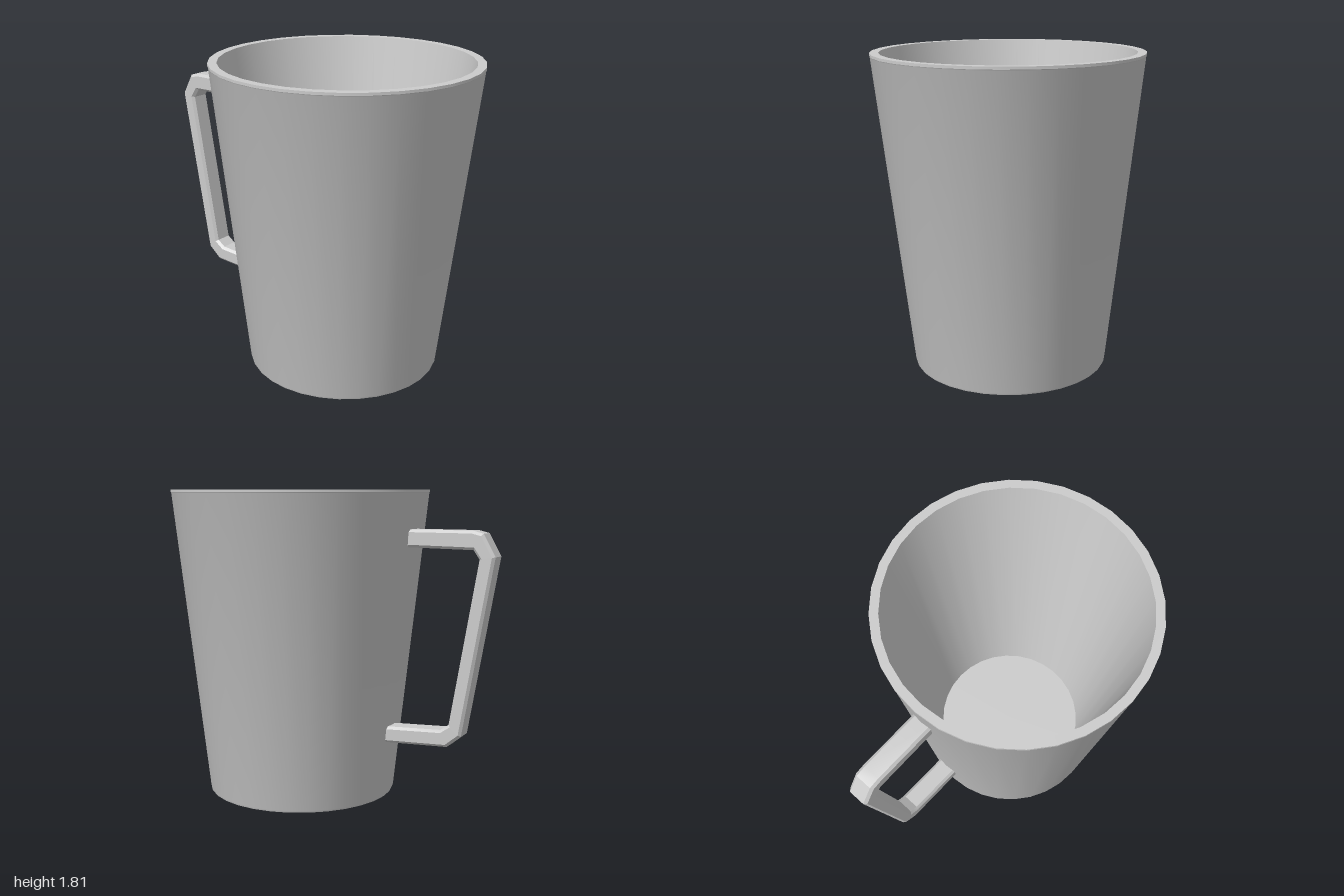
import * as THREE from 'three';
import { toCreasedNormals } from 'three/addons/utils/BufferGeometryUtils.js';

const material = new THREE.MeshStandardMaterial({ color: 0xcccccc });
const points = (list) => list.map(([x, y]) => new THREE.Vector2(x, y));

// Tapered cup: underside, outer wall, rim, inner wall and floor in one profile
function makeCup() {
  const profile = points([
    [0, 0.006], [0.53, 0.006], [0.535, 0], [0.56, 0], [0.565, 0.012],
    [0.762, 1.79], [0.765, 1.795], [0.765, 1.81],
    [0.715, 1.81], [0.455, 0.08], [0, 0.08],
  ]);
  const geometry = toCreasedNormals(new THREE.LatheGeometry(profile, 32), 0.5);
  const cup = new THREE.Mesh(geometry, material);
  cup.name = 'cup';
  cup.position.z = 0.235;
  return cup;
}

// Angular handle: side outline as (distance behind centre, height), with chamfered edges
function makeHandle() {
  const outline = points([
    [0.35, 0.35], [0.74, 0.37], [0.825, 0.44], [1.0, 1.45], [0.93, 1.575], [0.87, 1.59], [0.48, 1.59],
    [0.48, 1.49], [0.875, 1.485], [0.91, 1.435], [0.75, 0.5], [0.7, 0.465], [0.35, 0.445],
  ]);
  const chamfer = 0.015;
  const width = 0.125;
  const geometry = new THREE.ExtrudeGeometry(new THREE.Shape(outline), {
    depth: width - 2 * chamfer,
    bevelEnabled: true,
    bevelSegments: 1,
    bevelSize: chamfer,
    bevelThickness: chamfer,
    bevelOffset: -chamfer,
  });
  geometry.translate(0, 0, chamfer - width / 2);
  geometry.rotateY(Math.PI / 2);
  const handle = new THREE.Mesh(toCreasedNormals(geometry, 0.4), material);
  handle.name = 'handle';
  return handle;
}

export function createModel() {
  const mug = new THREE.Group();
  mug.name = 'mug';
  mug.add(makeCup(), makeHandle());
  return mug;
}
